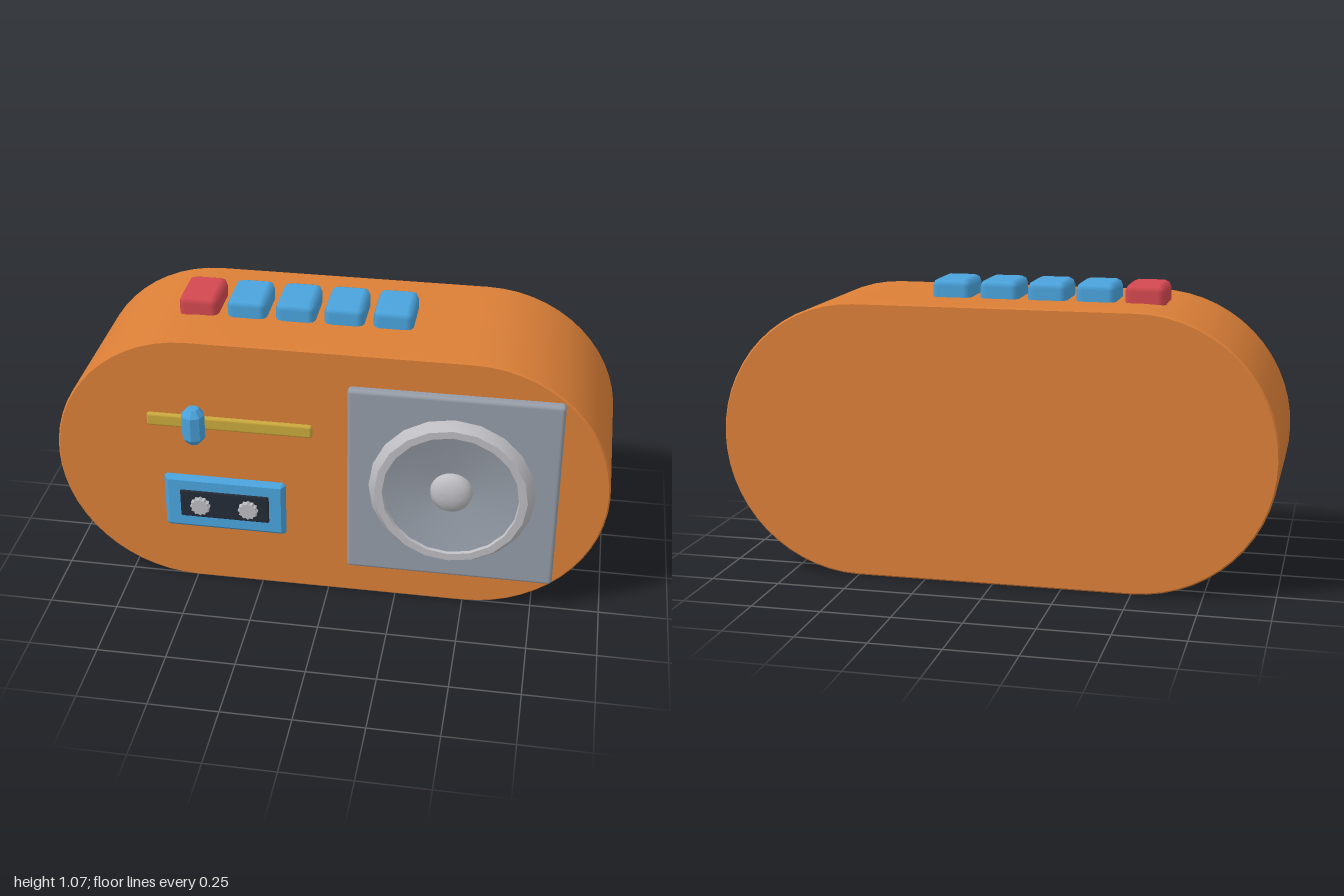
import * as THREE from 'three';
import { toCreasedNormals } from 'three/addons/utils/BufferGeometryUtils.js';
import { RoundedBoxGeometry } from 'three/addons/geometries/RoundedBoxGeometry.js';

const paint = (name, color) => {
  const m = new THREE.MeshStandardMaterial({ color });
  m.name = name;
  return m;
};

export function createModel() {
  const group = new THREE.Group();
  const orange = paint('orange', 0xdb7f37);
  const blue = paint('blue', 0x4aa3dc);
  const red = paint('red', 0xd34850);
  const grey = paint('grey', 0x959ca7);
  const silver = paint('silver', 0xbdbdc2);
  const yellow = paint('yellow', 0xc9a83c);
  const dark = paint('dark', 0x242c37);

  const add = (name, geometry, material, x = 0, y = 0, z = 0) => {
    const mesh = new THREE.Mesh(geometry, material);
    mesh.name = name;
    mesh.position.set(x, y, z);
    group.add(mesh);
    return mesh;
  };
  const rounded = (w, h, d, r, segments = 2) => new RoundedBoxGeometry(w, h, d, segments, r);
  // Turned part with its axis along z
  const lathe = (points, sides, crease = 0.6) => toCreasedNormals(new THREE.LatheGeometry(
    points.map(([r, z]) => new THREE.Vector2(r, z)), sides).rotateX(Math.PI / 2), crease);
  // Flat shape extruded forward with a chamfered rim kept inside the outline
  const slab = (shape, depth, bevel, curveSegments = 12) => toCreasedNormals(
    new THREE.ExtrudeGeometry(shape, {
      depth: depth - 2 * bevel, bevelThickness: bevel, bevelSize: bevel,
      bevelOffset: -bevel, bevelSegments: 1, curveSegments,
    }).translate(0, 0, bevel), 0.5);

  // Pill-shaped body
  const pill = new THREE.Shape();
  pill.moveTo(-0.5, 0);
  pill.lineTo(0.5, 0);
  pill.absarc(0.5, 0.5, 0.5, -Math.PI / 2, Math.PI / 2);
  pill.lineTo(-0.5, 1);
  pill.absarc(-0.5, 0.5, 0.5, Math.PI / 2, Math.PI * 1.5);
  add('body', slab(pill, 0.6, 0.006, 14), orange, 0, 0, -0.34);

  // Row of buttons on top
  for (let i = 0; i < 5; i++) {
    add('button' + (i + 1), rounded(0.143, 0.11, 0.195, 0.025, 1),
      i === 0 ? red : blue, -0.502 + i * 0.175, 1.01, -0.042);
  }

  // Speaker: panel, raised rim, concave cone and dome
  const sx = 0.447, sy = 0.502;
  add('speakerPanel', rounded(0.75, 0.746, 0.06, 0.014), grey, sx, sy, 0.26);
  add('speakerRim', lathe([[0.27, 0.285], [0.295, 0.3], [0.27, 0.336],
    [0.243, 0.336], [0.238, 0.325]], 20, 0.4), silver, sx, sy);
  add('speakerCone', lathe([[0.24, 0.327], [0.16, 0.309], [0.06, 0.293]], 24), grey, sx, sy)
    .geometry.computeBoundingSphere();
  add('speakerDome', lathe([[0.076, 0.294], [0.072, 0.315], [0.055, 0.329],
    [0.03, 0.337], [0, 0.34]], 24, 1.2), silver, sx, sy);

  // Tuning rail and its knob
  add('tuningRail', rounded(0.6, 0.05, 0.05, 0.01, 1), yellow, -0.355, 0.68, 0.25);
  const knob = new THREE.LatheGeometry([[0, -0.072], [0.022, -0.07], [0.042, -0.045],
    [0.042, 0.045], [0.022, 0.07], [0, 0.072]].map(([r, y]) => new THREE.Vector2(r, y)), 8);
  add('tuningKnob', toCreasedNormals(knob, 0.3), blue, -0.479, 0.68, 0.288);

  // Cassette door with window and toothed reels
  const door = new THREE.Shape();
  const w = 0.225, h = 0.111, c = 0.01;
  door.setFromPoints([[-w + c, -h], [w - c, -h], [w, -h + c], [w, h - c],
    [w - c, h], [-w + c, h], [-w, h - c], [-w, -h + c]].map(([x, y]) => new THREE.Vector2(x, y)));
  add('cassetteDoor', slab(door, 0.05, 0.016), blue, -0.38, 0.34, 0.23);
  add('cassetteWindow', rounded(0.33, 0.112, 0.05, 0.006, 1), dark, -0.38, 0.34, 0.261);
  const gear = new THREE.Shape();
  gear.setFromPoints(Array.from({ length: 24 }, (_, i) => {
    const a = i / 24 * Math.PI * 2, r = i % 2 ? 0.031 : 0.037;
    return new THREE.Vector2(Math.cos(a) * r, Math.sin(a) * r);
  }));
  for (const x of [-0.468, -0.29]) {
    add('cassetteReel', slab(gear, 0.03, 0.002), silver, x, 0.34, 0.274);
  }

  return group;
}
